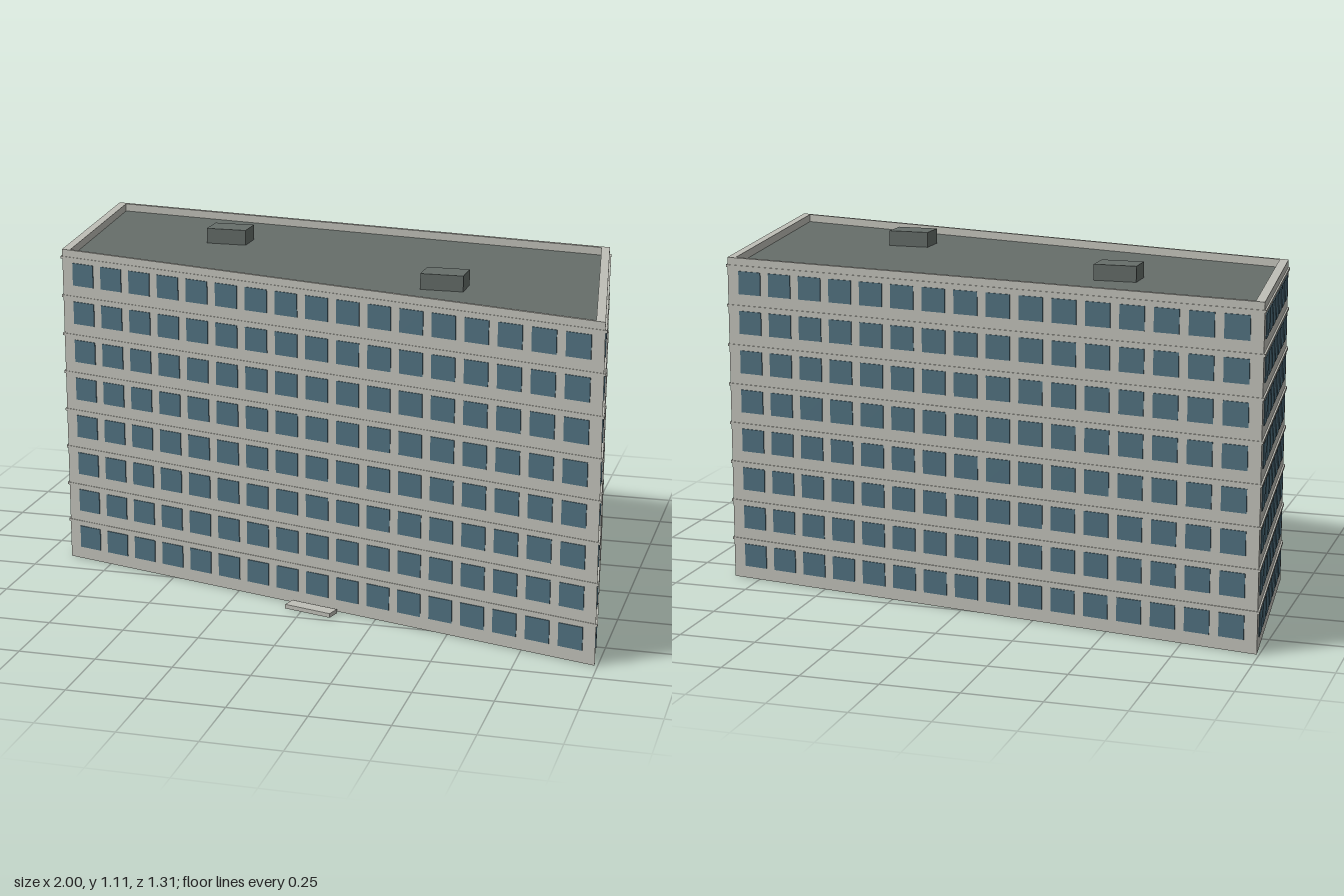
import * as THREE from 'three';
import { mergeGeometries } from 'three/addons/utils/BufferGeometryUtils.js';

// Footprint corners [x, z]: front left, front right, back right, back left
const CORNERS = [[-0.912, 0.138], [0.995, 0.655], [0.848, -0.366], [-0.997, -0.656]];
const COLUMNS = [17, 9, 16, 7];
const FLOORS = 8, FLOOR_HEIGHT = 0.1315;
const ROOF_Y = FLOORS * FLOOR_HEIGHT, TOP_Y = 1.08;

const material = (name, color) => {
  const m = new THREE.MeshStandardMaterial({ color });
  m.name = name;
  return m;
};

const outline = (scale, Type = THREE.Shape) =>
  new Type(CORNERS.map(([x, z]) => new THREE.Vector2(x * scale, -z * scale)));

// Upright prism over the footprint, hollow when an inner scale is given
function prism(y0, y1, outer, inner) {
  const shape = outline(outer);
  if (inner) shape.holes.push(outline(inner, THREE.Path));
  return new THREE.ExtrudeGeometry(shape, { depth: y1 - y0, bevelEnabled: false })
    .rotateX(-Math.PI / 2).translate(0, y0, 0);
}

export function createModel() {
  const wall = material('pale concrete', 0xbfbfb7);
  const glass = material('blue glass', 0x4f6f7e);
  const roofing = material('grey roofing', 0x666e6a);

  const model = new THREE.Group();
  model.name = 'officeBlock';
  const add = (name, geometry, mat, parent = model) => {
    const mesh = new THREE.Mesh(geometry, mat);
    mesh.name = name;
    parent.add(mesh);
    return mesh;
  };

  // Main volume, parapet and roof surface
  add('walls', prism(0, ROOF_Y, 0.996), wall);
  add('parapet', prism(ROOF_Y, TOP_Y, 0.996, 0.965), wall);
  add('roof', prism(ROOF_Y, ROOF_Y + 0.002, 0.965), roofing);

  // Thin ledge around every floor line
  for (let f = 1; f <= FLOORS; f++) {
    const y = f * FLOOR_HEIGHT;
    add('floorLedge', prism(y - 0.004, y + 0.004, 1.002, 0.99), wall);
  }

  // Window grid on each wall, in a frame with x along the wall and z outward
  const names = ['front', 'right', 'back', 'left'];
  CORNERS.forEach(([x0, z0], i) => {
    const [x1, z1] = CORNERS[(i + 1) % 4];
    const side = new THREE.Group();
    side.name = names[i] + 'Facade';
    side.position.set((x0 + x1) / 2 * 0.996, 0, (z0 + z1) / 2 * 0.996);
    side.rotation.y = Math.atan2(z0 - z1, x1 - x0);
    model.add(side);

    const pitch = (Math.hypot(x1 - x0, z1 - z0) - 0.062) / COLUMNS[i];
    const panes = [];
    for (let f = 0; f < FLOORS; f++) {
      for (let c = 0; c < COLUMNS[i]; c++) {
        panes.push(new THREE.BoxGeometry(pitch * 0.73, 0.076, 0.006)
          .translate((c - (COLUMNS[i] - 1) / 2) * pitch, f * FLOOR_HEIGHT + 0.079, 0));
      }
    }
    add(names[i] + 'Windows', mergeGeometries(panes), glass, side);

    // Entrance slab just in front of the front wall
    if (i === 0) {
      add('entranceSlab', new THREE.BoxGeometry(0.167, 0.014, 0.046), wall, side)
        .position.set(-0.002, 0.007, 0.038);
    }
  });

  // Rooftop plant boxes
  for (const [x, z] of [[-0.441, -0.24], [0.416, 0.234]]) {
    add('rooftopUnit', new THREE.BoxGeometry(0.138, 0.053, 0.097), roofing)
      .position.set(x, ROOF_Y + 0.0265, z);
  }
  return model;
}
